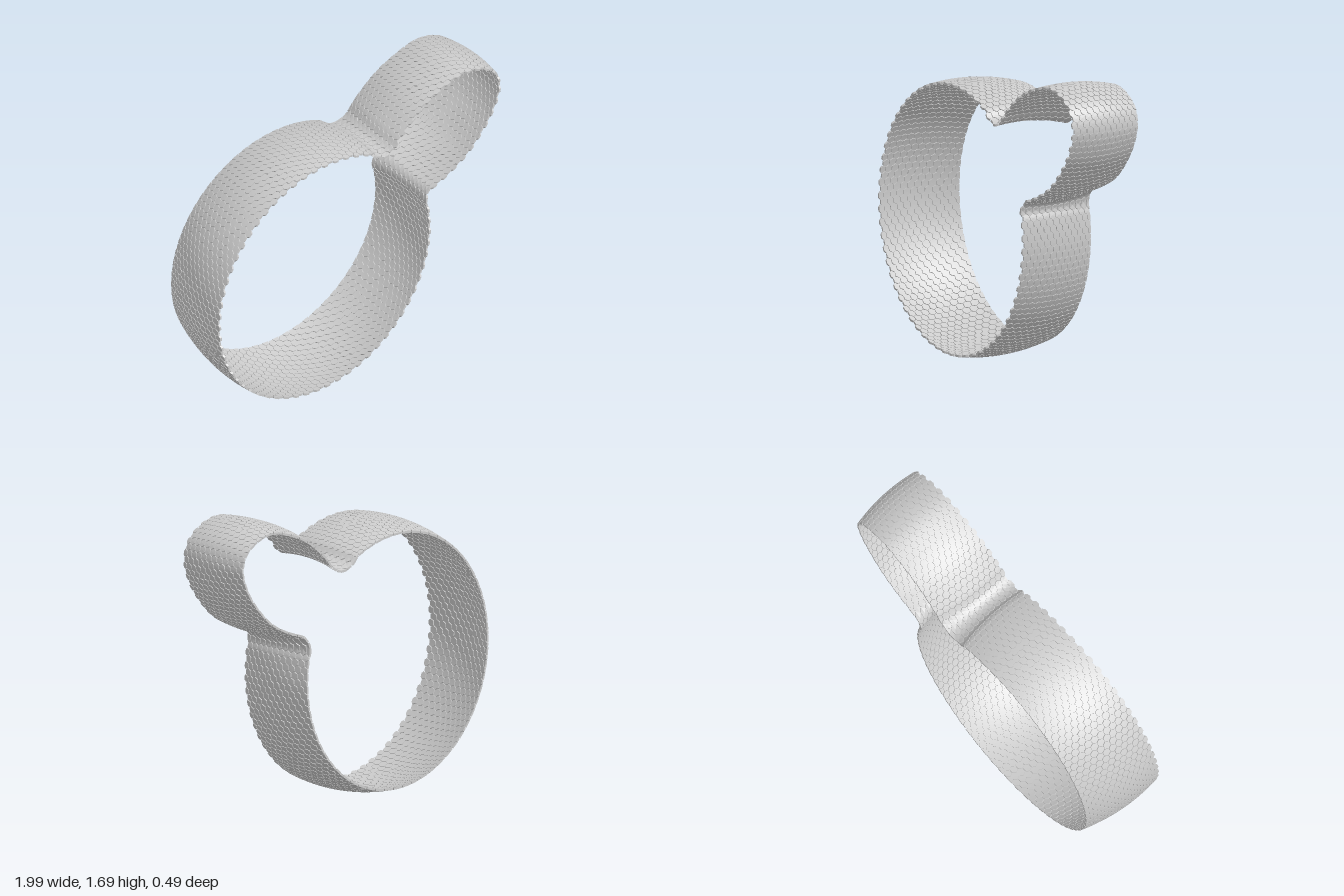
import * as THREE from 'three';

const ROWS = 160, COLS = 11, FRONT = COLS + 0.25, WALL = 0.012, GAP = 0.9;

// Closed outline of the band: a large round body with an elongated lobe
function makeOutline() {
  const pts = [];
  for (let i = 0; i <= 24; i++) {
    const a = THREE.MathUtils.degToRad(63 + (i / 24) * 307);
    pts.push([-0.25 + 0.75 * Math.cos(a), 0.763 + 0.763 * Math.sin(a)]);
  }
  pts.push(
    [0.476, 0.94], [0.495, 0.98], [0.54, 1.0], [0.63, 1.035], [0.755, 1.105], [0.86, 1.205],
    [0.95, 1.33], [0.995, 1.47], [0.965, 1.58], [0.87, 1.655], [0.73, 1.69], [0.57, 1.655],
    [0.42, 1.585], [0.27, 1.46], [0.225, 1.405], [0.18, 1.387], [0.135, 1.4]);
  const curve = new THREE.CatmullRomCurve3(
    pts.map(([x, y]) => new THREE.Vector3(x, y, 0)), true);
  curve.arcLengthDivisions = 2000;
  return curve;
}

// Point on the crowned band: u runs round the outline, v from back to front
function bandPoint(curve, u, v, depth) {
  const s = ((u % 1) + 1) % 1;
  const p = curve.getPointAt(s), t = curve.getTangentAt(s);
  const zFront = 0.23 - 0.024 * p.x - 0.013 * p.y;
  const z = THREE.MathUtils.lerp(-0.24, zFront, v / FRONT);
  const crown = 0.06 - 0.03 * p.x;
  const inset = 0.48 * (z - crown) ** 2 + depth;
  return new THREE.Vector3(p.x - t.y * inset, p.y + t.x * inset, z);
}

// Hexagonal plates standing slightly proud of the band on both faces
function hexPlates(curve) {
  const pos = [], ab = new THREE.Vector3(), ac = new THREE.Vector3();
  const tri = (a, b, c) => {
    ab.subVectors(b, a);
    ac.subVectors(c, a);
    if (ab.cross(ac).length() > 1e-9) pos.push(...a, ...b, ...c);
  };
  for (let r = 0; r < ROWS; r++) {
    const odd = r % 2;
    for (let c = 0; c < COLS + odd; c++) {
      const vc = c + (odd ? 0 : 0.5);
      const outer = [], inner = [];
      for (let k = 0; k < 6; k++) {
        const a = (k * Math.PI) / 3;
        const u = (r + (2 / 3) * GAP * Math.cos(a)) / ROWS;
        const v = THREE.MathUtils.clamp(vc + GAP * Math.sin(a) / Math.sqrt(3), 0, FRONT);
        outer.push(bandPoint(curve, u, v, 0));
        inner.push(bandPoint(curve, u, v, WALL));
      }
      const top = bandPoint(curve, r / ROWS, vc, 0);
      const under = bandPoint(curve, r / ROWS, vc, WALL);
      for (let k = 0; k < 6; k++) {
        const n = (k + 1) % 6;
        tri(top, outer[k], outer[n]);
        tri(under, inner[n], inner[k]);
        tri(outer[k], inner[k], inner[n]);
        tri(outer[k], inner[n], outer[n]);
      }
    }
  }
  const g = new THREE.BufferGeometry();
  g.setAttribute('position', new THREE.Float32BufferAttribute(pos, 3));
  g.computeVertexNormals();
  return g;
}

// Thin sheet joining the plates at mid thickness
function coreSheet(curve) {
  const NU = 480, NV = 8, pos = [], index = [];
  for (let i = 0; i < NU; i++)
    for (let j = 0; j <= NV; j++)
      pos.push(...bandPoint(curve, i / NU, 0.1 + (j / NV) * (COLS - 0.2), WALL / 2));
  for (let i = 0; i < NU; i++)
    for (let j = 0; j < NV; j++) {
      const a = i * (NV + 1) + j, b = ((i + 1) % NU) * (NV + 1) + j;
      index.push(a, b, b + 1, a, b + 1, a + 1);
    }
  const g = new THREE.BufferGeometry();
  g.setAttribute('position', new THREE.Float32BufferAttribute(pos, 3));
  g.setIndex(index);
  g.computeVertexNormals();
  return g;
}

export function createModel() {
  const group = new THREE.Group();
  group.name = 'hexTexturedBand';
  const curve = makeOutline();

  const plates = new THREE.Mesh(hexPlates(curve),
    new THREE.MeshStandardMaterial({ color: 0xcccccc, flatShading: true }));
  plates.name = 'hexPlates';

  const core = new THREE.Mesh(coreSheet(curve),
    new THREE.MeshStandardMaterial({ color: 0xcccccc, side: THREE.DoubleSide }));
  core.name = 'bandCore';

  group.add(plates, core);
  return group;
}
